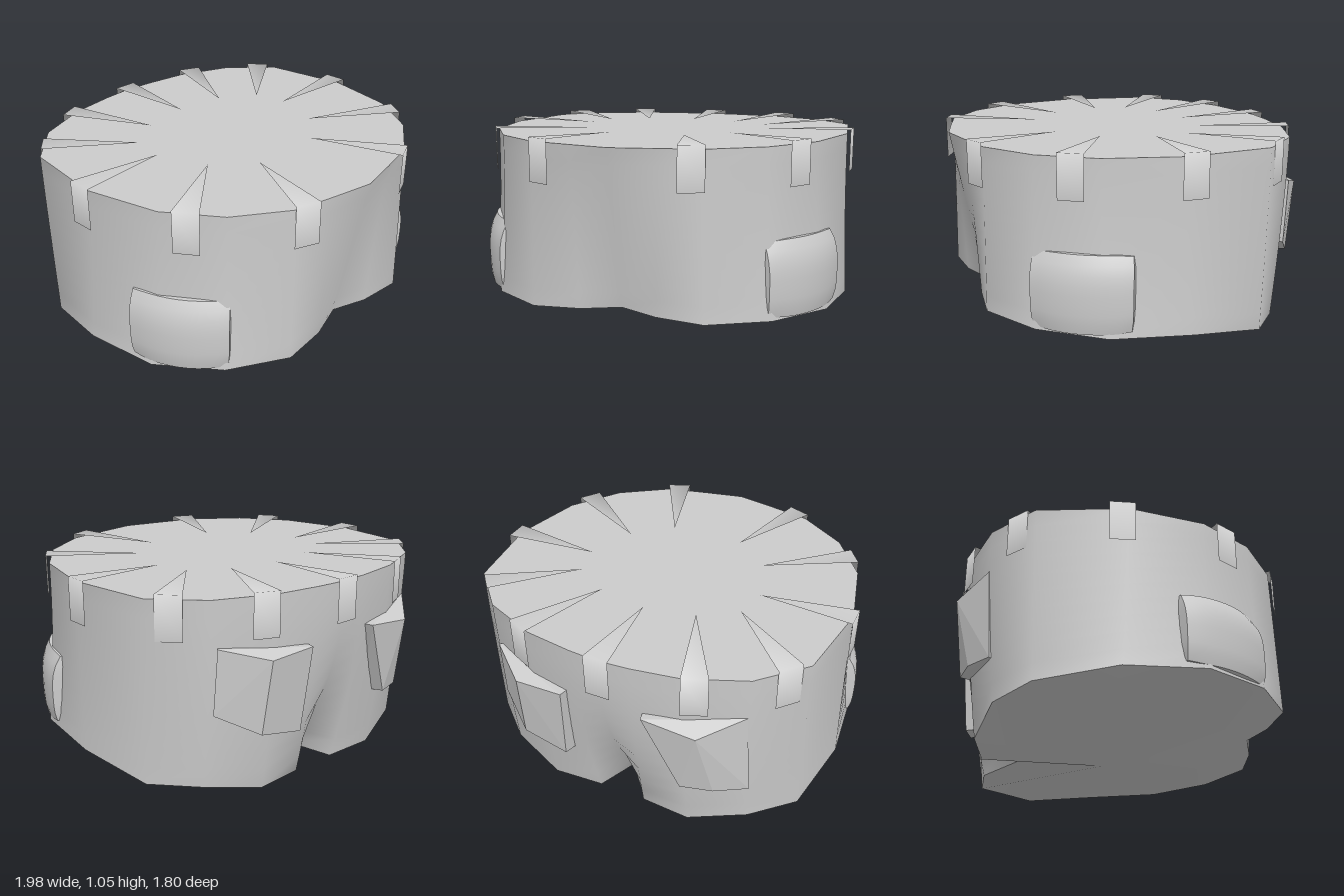
import * as THREE from 'three';
import { ConvexGeometry } from 'three/addons/geometries/ConvexGeometry.js';

const smooth = new THREE.MeshStandardMaterial({ color: 0xcccccc, side: THREE.DoubleSide });
const faceted = new THREE.MeshStandardMaterial({ color: 0xcccccc, flatShading: true });

// Columns of the +x half, front to back: [top x, top z, bottom x, bottom y, bottom z, flare power]
const HALF = [
  [0, 0.9, 0, 0.21, 0.74, 1],
  [0.22, 0.855, 0.2, 0.2, 0.8, 0.8],
  [0.44, 0.805, 0.45, 0.195, 0.82, 1],
  [0.7, 0.625, 0.74, 0.19, 0.645, 2],
  [0.88, 0.36, 0.95, 0.18, 0.34, 2.2],
  [0.97, -0.03, 0.99, 0.16, -0.07, 2],
  [0.91, -0.49, 0.91, 0.1, -0.47, 1.5],
  [0.7, -0.71, 0.7, 0.08, -0.65, 1.5],
  [0.41, -0.83, 0.4, 0.01, -0.745, 1.7],
  [0.16, -0.868, 0.13, 0, -0.72, 1.8],
  [0, -0.88, 0, 0.05, -0.52, 2.4],
];
const TOP = 1.03;

function build(positions, index, material, name) {
  const g = new THREE.BufferGeometry();
  g.setAttribute('position', new THREE.Float32BufferAttribute(positions, 3));
  g.setIndex(index);
  g.computeVertexNormals();
  const mesh = new THREE.Mesh(g, material);
  mesh.name = name;
  return mesh;
}

// Closes a ring of points with a fan around a hub
function fan(ring, hub, up, name) {
  const index = [];
  ring.forEach((_, i) => {
    const a = i + 1, b = ((i + 1) % ring.length) + 1;
    index.push(0, up ? a : b, up ? b : a);
  });
  return build([hub, ...ring].flat(), index, smooth, name);
}

function makeBody() {
  const group = new THREE.Group();
  group.name = 'body';
  const mirrored = HALF.slice(1, -1).reverse().map(([a, b, c, ...r]) => [-a, b, -c, ...r]);
  const cols = [...HALF, ...mirrored];
  const n = cols.length, rows = 10;
  const rings = [];
  for (let r = 0; r <= rows; r++) {
    const t = r / rows;
    rings.push(cols.map(([tx, tz, bx, by, bz, p]) => {
      const f = t ** p;
      return [tx + (bx - tx) * f, TOP + (by - TOP) * t, tz + (bz - tz) * f];
    }));
  }
  const index = [];
  for (let r = 0; r < rows; r++) {
    for (let i = 0; i < n; i++) {
      const j = (i + 1) % n;
      const a = r * n + i, b = r * n + j, c = a + n, d = b + n;
      index.push(c, d, b, c, b, a);
    }
  }
  group.add(build(rings.flat(2), index, smooth, 'wall'));
  group.add(fan(rings[0], [0, TOP, 0], true, 'topCap'));
  group.add(fan(rings[rows], [0, 0.03, -0.08], false, 'bottomCap'));
  return group;
}

// Belt loop: a wedge on the top, folded down over the rim
function makeLoop(ox, oz, ix, iz) {
  const dir = new THREE.Vector2(ox - ix, oz - iz).normalize();
  const w = 0.065, px = -dir.y * w, pz = dir.x * w;
  const corner = (s, y) => [ox + s * px, y, oz + s * pz];
  const pts = [[ix, 1.037, iz], corner(1, 1.052), corner(-1, 1.052), corner(1, 0.83), corner(-1, 0.83)];
  return build(pts.flat(), [0, 1, 2, 1, 3, 4, 1, 4, 2], smooth, 'beltLoop');
}

// Soft side pocket: a box bent around the body, leaning in towards its top
function makeSidePocket(side) {
  const g = new THREE.BoxGeometry(0.5, 0.38, 0.3, 10, 8, 1);
  const p = g.attributes.position;
  for (let i = 0; i < p.count; i++) {
    const u = p.getX(i) / 0.25, v = p.getY(i) / 0.19;
    p.setX(i, p.getX(i) * (1 - 0.04 * v ** 4));
    p.setY(i, p.getY(i) * (1 - 0.05 * u ** 4));
    p.setZ(i, p.getZ(i) - 0.055 * u * u - 0.035 * Math.max(v, 0) ** 2 - 0.015 * v ** 4);
  }
  g.computeVertexNormals();
  const mesh = new THREE.Mesh(g, smooth);
  mesh.position.set(side * 0.774, 0.39, 0.4);
  mesh.rotation.y = side * Math.atan2(0.86, 0.51);
  mesh.name = side > 0 ? 'leftSidePocket' : 'rightSidePocket';
  return mesh;
}

// Angular back pocket; inner points are sunk into the body
function makeBackPocket(side, outer) {
  const pts = [];
  for (const [x, y, z] of outer) {
    pts.push(new THREE.Vector3(side * x, y, z));
    pts.push(new THREE.Vector3(side * x * 0.88, y, z * 0.88));
  }
  const mesh = new THREE.Mesh(new ConvexGeometry(pts), faceted);
  mesh.name = side > 0 ? 'leftBackPocket' : 'rightBackPocket';
  return mesh;
}

export function createModel() {
  const model = new THREE.Group();
  model.name = 'waistPiece';
  model.add(makeBody());

  // Belt loops: outer x, z and inner tip x, z
  const loops = [
    [0.47, -0.83, 0.265, -0.36], [0.835, -0.575, 0.455, -0.24], [0.99, -0.065, 0.49, -0.065],
    [0.825, 0.485, 0.395, 0.2], [0.39, 0.84, 0.2, 0.37],
  ];
  model.add(makeLoop(0, -0.9, 0, -0.41));
  for (const s of [1, -1]) {
    for (const [ox, oz, ix, iz] of loops) model.add(makeLoop(s * ox, oz, s * ix, iz));
    model.add(makeSidePocket(s));
  }

  // Back pockets, the right one with a slanted inner edge
  model.add(makeBackPocket(1, [
    [0.22, 0.75, -0.89], [0.48, 0.74, -0.885], [0.68, 0.8, -0.73],
    [0.25, 0.31, -0.85], [0.5, 0.36, -0.84], [0.69, 0.47, -0.71],
  ]));
  model.add(makeBackPocket(-1, [
    [0.22, 0.76, -0.89], [0.5, 0.73, -0.88], [0.69, 0.8, -0.71],
    [0.4, 0.34, -0.84], [0.56, 0.33, -0.79], [0.71, 0.31, -0.68],
  ]));
  return model;
}
